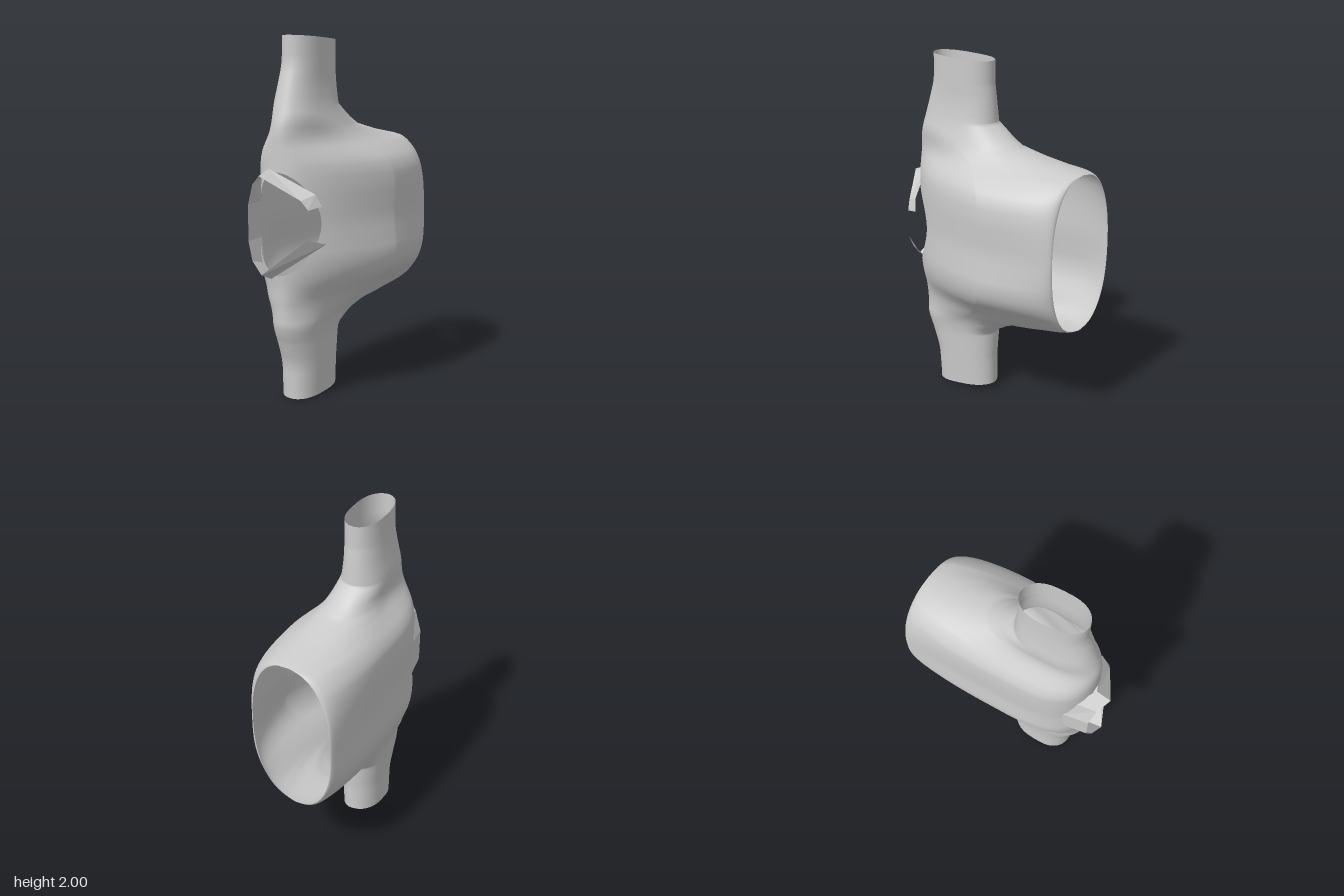
import * as THREE from 'three';
import { mergeVertices } from 'three/addons/utils/BufferGeometryUtils.js';

// Horizontal sections: [y, xRight, xLeft, zFront, zBack, z of widest point]
const SECTIONS = [
  [0, -0.18, 0.04, 0.38, 0.01, 0.2],
  [0.2, -0.18, 0.05, 0.39, 0.01, 0.2],
  [0.37, -0.195, 0.06, 0.45, 0, 0.2],
  [0.4, -0.2, 0.065, 0.47, -0.03, 0.2],
  [0.46, -0.205, 0.08, 0.475, -0.14, 0.16],
  [0.505, -0.215, 0.105, 0.47, -0.3, 0.1],
  [0.525, -0.225, 0.125, 0.475, -0.57, 0.06],
  [0.6, -0.255, 0.18, 0.48, -0.57, 0],
  [0.65, -0.27, 0.24, 0.48, -0.57, -0.05],
  [0.7, -0.3, 0.29, 0.49, -0.57, -0.1],
  [0.8, -0.32, 0.32, 0.5, -0.57, -0.12],
  [1, -0.305, 0.3, 0.5, -0.57, -0.12],
  [1.2, -0.31, 0.308, 0.5, -0.57, -0.12],
  [1.3, -0.305, 0.293, 0.5, -0.57, -0.1],
  [1.36, -0.295, 0.25, 0.5, -0.57, -0.06],
  [1.43, -0.24, 0.16, 0.5, -0.57, 0.02],
  [1.465, -0.21, 0.125, 0.5, -0.37, 0.07],
  [1.51, -0.18, 0.105, 0.5, -0.18, 0.13],
  [1.55, -0.18, 0.09, 0.49, -0.11, 0.17],
  [1.63, -0.183, 0.065, 0.465, 0, 0.2],
  [1.75, -0.165, 0.05, 0.43, 0.01, 0.2],
  [1.85, -0.155, 0.05, 0.4, 0.02, 0.2],
  [2, -0.15, 0.05, 0.4, 0.02, 0.2],
];
const AXIS_X = -0.055; // x of the front ridge
const MOUTH = { x: -0.02, y: 0.982, rx: 0.262, ry: 0.447 }; // rear opening
const HOLE = { x: -0.055, y: 1.0, rx: 0.185, ry: 0.28 }; // front opening

function rawSection(y) {
  let i = 0;
  while (i < SECTIONS.length - 2 && y > SECTIONS[i + 1][0]) i++;
  const p = SECTIONS[i], q = SECTIONS[i + 1];
  const t = THREE.MathUtils.clamp((y - p[0]) / (q[0] - p[0]), 0, 1);
  return p.map((v, k) => THREE.MathUtils.lerp(v, q[k], t));
}

// Section rounded over its neighbours; the rear profile stays exact
function sectionAt(y) {
  const steps = [-0.04, -0.02, 0, 0.02, 0.04].map((d) => rawSection(y + d));
  return steps[2].map((v, k) => (k === 4 ? v : steps.reduce((sum, s) => sum + s[k], 0) / 5));
}

// Point on the wall; u runs from rear right (-1) round the front (0) to rear left (1)
function wallPoint(u, y, [, xr, xl, zf, zb, zm]) {
  const a = Math.abs(u) * Math.PI, s = Math.sin(a), c = Math.cos(a);
  const side = u < 0 ? xr : xl;
  const chamber = THREE.MathUtils.smoothstep(0.6 - Math.abs(y - 1), 0, 0.2);
  if (c >= 0) {
    // full on the right, a slanting flank on the left
    const power = THREE.MathUtils.lerp(0.7, u < 0 ? 0.44 : 1.7, chamber);
    return [AXIS_X + (side - AXIS_X) * s, y, zm + (zf - zm) * Math.pow(c, power)];
  }
  // rear half: closed to a seam in the vessels, left open at the mouth
  const d = Math.min(1, Math.abs(y - MOUTH.y) / MOUTH.ry);
  const open = Math.pow(1 - Math.pow(d, 2.3), 1 / 2.3);
  const end = THREE.MathUtils.lerp(AXIS_X, MOUTH.x, chamber) + Math.sign(u) * MOUTH.rx * open;
  const back = zb + Math.sign(u) * 0.028 * open;
  const power = THREE.MathUtils.lerp(0.75, 1, chamber);
  return [end + (side - end) * s, y, zm - (zm - back) * Math.pow(-c, power)];
}

function buildWall() {
  const rows = 200, cols = 80, pos = [], idx = [], cut = [];
  for (let i = 0; i <= rows; i++) {
    const y = (2 * i) / rows, section = sectionAt(y);
    for (let j = 0; j <= cols; j++) {
      const u = (2 * j) / cols - 1;
      let p = wallPoint(u, y, section);
      // slide points inside the front opening out to its edge
      const dx = (p[0] - HOLE.x) / HOLE.rx, dy = (y - HOLE.y) / HOLE.ry;
      const r = Math.hypot(dx, dy);
      const inside = Math.abs(u) < 0.5 && r < 1;
      if (inside) {
        const k = 1 / Math.max(r, 0.001);
        const nx = HOLE.x + dx * k * HOLE.rx, ny = HOLE.y + dy * k * HOLE.ry;
        const sec = sectionAt(ny), off = nx - AXIS_X;
        const ratio = Math.min(1, off / ((off < 0 ? sec[1] : sec[2]) - AXIS_X));
        p = wallPoint((Math.sign(off) * Math.asin(ratio)) / Math.PI, ny, sec);
      }
      // slanted vessel ends
      const slant = (0.4 - p[2]) / 0.4;
      p[1] += 0.035 * slant * Math.max(0, 1 - y / 0.2);
      p[1] -= 0.025 * slant * Math.max(0, (y - 1.8) / 0.2);
      p[1] = THREE.MathUtils.clamp(p[1], 0, 2);
      cut.push(inside);
      pos.push(...p);
    }
  }
  const face = (a, b, c) => { if (!(cut[a] && cut[b] && cut[c])) idx.push(a, b, c); };
  for (let i = 0; i < rows; i++) {
    for (let j = 0; j < cols; j++) {
      const a = i * (cols + 1) + j, b = a + cols + 1;
      face(a, a + 1, b + 1);
      face(a, b + 1, b);
    }
  }
  let geo = new THREE.BufferGeometry();
  geo.setAttribute('position', new THREE.Float32BufferAttribute(pos, 3));
  geo.setIndex(idx);
  geo = mergeVertices(geo, 1e-5);
  geo.computeVertexNormals();
  return geo;
}

// Open collar round the front opening: pairs of inner and outer edge points
function buildCollar() {
  const inner = [
    [0.195, 0.905, 0.405], [-0.1, 0.7, 0.5], [-0.2, 0.765, 0.43], [-0.245, 0.9, 0.395],
    [-0.245, 1.1, 0.395], [-0.2, 1.24, 0.43], [-0.1, 1.3, 0.515], [0.14, 1.17, 0.425], [0.17, 1.105, 0.405],
  ];
  const outer = [
    [0.13, 0.93, 0.485], [-0.1, 0.735, 0.585], [-0.18, 0.8, 0.56], [-0.222, 0.9, 0.54],
    [-0.222, 1.1, 0.54], [-0.175, 1.215, 0.56], [-0.1, 1.268, 0.6], [0.1, 1.14, 0.5], [0.135, 1.09, 0.483],
  ];
  const idx = [], n = inner.length;
  for (let i = 0; i < n - 1; i++) idx.push(i, i + 1, n + i + 1, i, n + i + 1, n + i);
  const geo = new THREE.BufferGeometry();
  geo.setAttribute('position', new THREE.Float32BufferAttribute([...inner, ...outer].flat(), 3));
  geo.setIndex(idx);
  geo.computeVertexNormals();
  return geo;
}

export function createModel() {
  const group = new THREE.Group();
  group.name = 'heartChamber';
  const add = (name, geometry, flatShading) => {
    const material = new THREE.MeshStandardMaterial({ color: 0xcccccc, side: THREE.DoubleSide, flatShading });
    const mesh = new THREE.Mesh(geometry, material);
    mesh.name = name;
    group.add(mesh);
  };
  add('chamberWallWithVessels', buildWall(), false);
  add('frontOpeningCollar', buildCollar(), true);
  return group;
}
